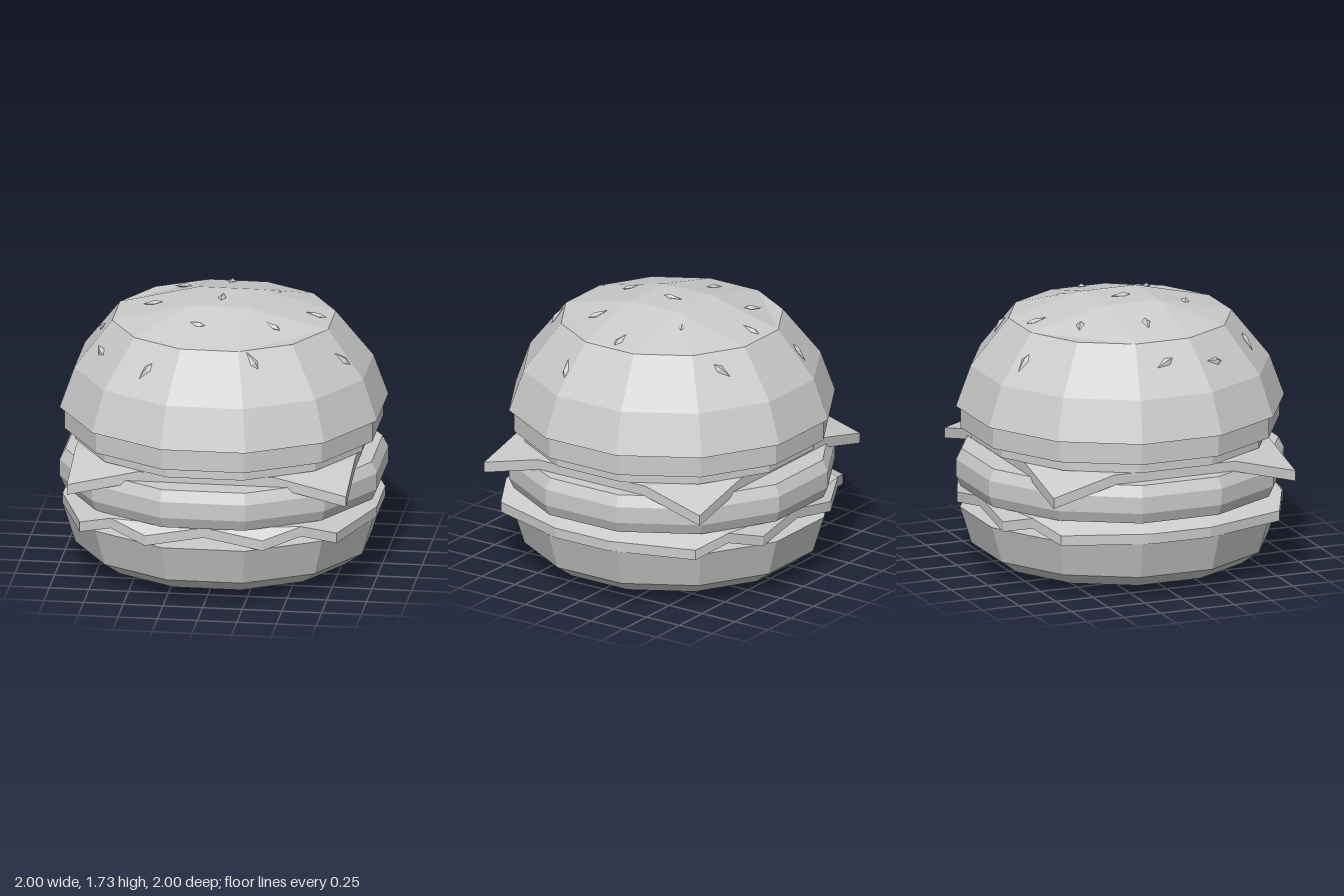
import * as THREE from 'three';

const material = new THREE.MeshStandardMaterial({ color: 0xcccccc, flatShading: true });
const SIDES = 12;
const CORNER = 1 / Math.cos(Math.PI / SIDES); // flat-to-flat radius -> corner radius

function addMesh(parent, name, geometry) {
  const mesh = new THREE.Mesh(geometry, material);
  mesh.name = name;
  parent.add(mesh);
  return mesh;
}

// Twelve-sided turned layer; profile is [flat radius, y] from bottom to top.
function layer(profile) {
  const points = profile.map(([r, y]) => new THREE.Vector2(r * CORNER, y));
  const g = new THREE.LatheGeometry(points, SIDES, Math.PI / SIDES).toNonIndexed();
  g.computeVertexNormals();
  return g;
}

// 3 x 3 quad patch whose border is the twelve-sided ring of flat radius r.
function gridCap(r, rimY, innerY) {
  const g = new THREE.PlaneGeometry(2, 2, 3, 3);
  g.rotateX(innerY > rimY ? -Math.PI / 2 : Math.PI / 2);
  const p = g.attributes.position;
  for (let i = 0; i < p.count; i++) {
    const x = p.getX(i), z = p.getZ(i);
    const outX = Math.abs(x) > 0.9, outZ = Math.abs(z) > 0.9;
    const size = (out) => r * (outX && outZ ? 0.732 : out ? 1 : 0.268);
    p.setXYZ(i, Math.sign(x) * size(outX), outX || outZ ? rimY : innerY, Math.sign(z) * size(outZ));
  }
  const flat = g.toNonIndexed();
  flat.computeVertexNormals();
  return flat;
}

// Folded slab from one quadrant (x, z >= 0), mirrored to all four.
function foldedSlab(points, triangles, rim, thickness) {
  const out = [];
  for (const sx of [1, -1]) for (const sz of [1, -1]) {
    const at = (i, drop) => [points[i][0] * sx, points[i][1] - drop, points[i][2] * sz];
    const tri = (a, b, c) => out.push(...(sx * sz > 0 ? [a, b, c] : [a, c, b]).flat());
    for (const [a, b, c] of triangles) {
      tri(at(a, 0), at(b, 0), at(c, 0));
      tri(at(a, thickness), at(c, thickness), at(b, thickness));
    }
    for (let k = 0; k + 1 < rim.length; k++) {
      const p = rim[k], q = rim[k + 1];
      tri(at(p, thickness), at(q, thickness), at(q, 0));
      tri(at(p, thickness), at(q, 0), at(p, 0));
    }
  }
  const g = new THREE.BufferGeometry();
  g.setAttribute('position', new THREE.Float32BufferAttribute(out, 3));
  g.computeVertexNormals();
  return g;
}

const crown = [[1, 1.03], [0.91, 1.29], [0.68, 1.59], [0.18, 1.71]];

// Height of the top bun above a point.
function crownY(x, z) {
  let a = 0;
  for (let k = 0; k < SIDES; k++) {
    const t = (k * 2 * Math.PI) / SIDES;
    a = Math.max(a, x * Math.cos(t) + z * Math.sin(t));
  }
  for (let i = 0; i < 3; i++) {
    const [r0, y0] = crown[i], [r1, y1] = crown[i + 1];
    if (a >= r1) return y0 + ((y1 - y0) * (a - r0)) / (r1 - r0);
  }
  return 1.71;
}

// Teardrop seed lying along x.
function seedGeometry() {
  const g = new THREE.OctahedronGeometry(1, 0);
  const p = g.attributes.position;
  for (let i = 0; i < p.count; i++) {
    const shift = Math.abs(p.getX(i)) < 0.5 ? 0.3 : 0;
    p.setXYZ(i, (p.getX(i) + shift) * 0.065, p.getY(i) * 0.018, p.getZ(i) * 0.027);
  }
  g.computeVertexNormals();
  return g;
}

export function createModel() {
  const model = new THREE.Group();
  model.name = 'burger';

  // Bottom bun
  const bottomBun = new THREE.Group();
  bottomBun.name = 'bottomBun';
  addMesh(bottomBun, 'bottomBunSide', layer([[0.79, 0.055], [0.905, 0.14], [0.975, 0.375], [0, 0.375]]));
  addMesh(bottomBun, 'bottomBunBase', gridCap(0.79, 0.055, 0));
  model.add(bottomBun);

  // Lettuce with a zigzag rim
  const hi = 0.51, lo = 0.44;
  addMesh(model, 'lettuce', foldedSlab(
    [[0, hi, 0], [0, hi, 0.95], [0.37, lo, 0.95], [0.6, hi, 0.845], [0.81, lo, 0.74],
      [0.99, lo, 0.2], [0.81, hi, 0.2], [0.81, hi, 0], [0.99, lo, 0]],
    [[0, 1, 3], [1, 2, 3], [0, 3, 6], [3, 4, 5], [3, 5, 6], [0, 6, 7], [6, 5, 8], [6, 8, 7]],
    [1, 2, 3, 4, 5, 8], 0.065));

  // Patty
  addMesh(model, 'patty', layer([[0, 0.51], [0.97, 0.51], [1, 0.58], [1, 0.685], [0.965, 0.755], [0, 0.755]]));

  // Cheese slice with drooping corners
  addMesh(model, 'cheese', foldedSlab(
    [[0, 0.817, 0], [0, 0.817, 0.82], [0.43, 0.817, 0.82], [0.88, 0.71, 0.82], [0.88, 0.817, 0.41], [0.88, 0.817, 0]],
    [[0, 1, 2], [0, 2, 4], [2, 3, 4], [0, 4, 5]],
    [1, 2, 3, 4, 5], 0.067));

  // Slices under the top bun
  addMesh(model, 'lowerSlice', layer([[0, 0.818], [0.905, 0.818], [0.905, 0.89], [0, 0.89]]));
  addMesh(model, 'upperSlice', layer([[0, 0.89], [0.97, 0.89], [0.97, 1.029], [0, 1.029]]));

  // Top bun
  const topBun = new THREE.Group();
  topBun.name = 'topBun';
  addMesh(topBun, 'topBunSide', layer([[0, 1.03], ...crown.slice(0, 3)]));
  addMesh(topBun, 'topBunCrown', gridCap(0.68, 1.59, 1.71));
  model.add(topBun);

  // Seeds: x, z, then the heading of the pointed end in x, z
  const seeds = [
    [-0.28, -0.77, 0.02, 0.1], [-0.03, -0.58, 0.01, -0.1], [0.39, -0.65, 0.05, 0.1],
    [-0.31, -0.4, 0.1, 0.05], [0.28, -0.27, 0.1, -0.05], [-0.77, -0.02, 0.03, 0.1],
    [-0.45, -0.01, 0.1, 0.02], [-0.01, 0, 0, 0.1], [0.58, -0.01, 0.1, 0],
    [-0.73, 0.33, 0.04, 0.1], [-0.12, 0.39, 0.1, 0.05], [0.35, 0.32, 0.1, 0.07],
    [0.78, 0.26, 0.08, -0.03], [-0.4, 0.69, 0.1, -0.05], [0.27, 0.68, 0.1, 0.05],
  ];
  const seedShape = seedGeometry();
  const seedGroup = new THREE.Group();
  seedGroup.name = 'seeds';
  for (const [x, z, dx, dz] of seeds) {
    const e = 0.02;
    const sx = (crownY(x + e, z) - crownY(x - e, z)) / (2 * e);
    const sz = (crownY(x, z + e) - crownY(x, z - e)) / (2 * e);
    const up = new THREE.Vector3(-sx, 1, -sz).normalize();
    const along = new THREE.Vector3(dx, sx * dx + sz * dz, dz).normalize();
    const across = new THREE.Vector3().crossVectors(along, up);
    const seed = addMesh(seedGroup, 'seed', seedShape);
    seed.quaternion.setFromRotationMatrix(new THREE.Matrix4().makeBasis(along, up, across));
    seed.position.set(x, crownY(x, z), z).addScaledVector(up, 0.003);
  }
  model.add(seedGroup);
  return model;
}
